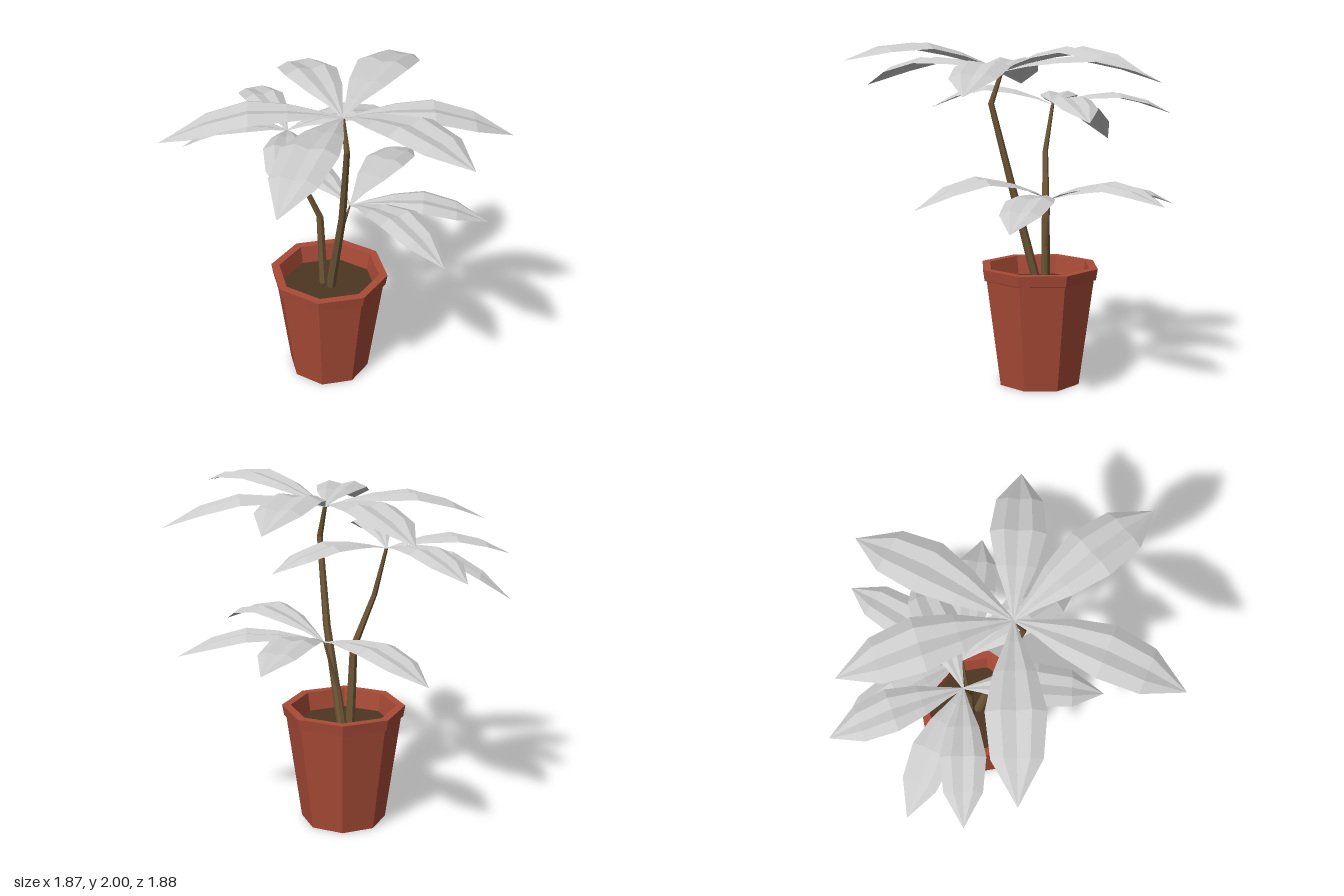
import * as THREE from 'three';

const mat = (color, side = THREE.FrontSide) =>
  new THREE.MeshStandardMaterial({ color, flatShading: true, side });
const potMat = mat(0xa94b37);
const soilMat = mat(0x4d3622);
const stemMat = mat(0x6e5636);
const leafMat = mat(0xcccccc, THREE.DoubleSide);

function mesh(name, geometry, material) {
  const m = new THREE.Mesh(geometry, material);
  m.name = name;
  return m;
}

// Octagonal pot: flat-to-flat radii are turned into corner radii
function makePot() {
  const toCorner = 1 / Math.cos(Math.PI / 8);
  const profile = [
    [0, 0], [0.23, 0], [0.31, 0.63], [0.322, 0.635], [0.332, 0.7],
    [0.285, 0.7], [0.265, 0.57],
  ].map(([r, y]) => new THREE.Vector2(r * toCorner, y));
  const pot = new THREE.Group();
  pot.name = 'pot';
  pot.add(mesh('potShell', new THREE.LatheGeometry(profile, 8, Math.PI / 8), potMat));
  const soil = mesh('soil', new THREE.CircleGeometry(0.28 * toCorner, 8, Math.PI / 8), soilMat);
  soil.rotation.x = -Math.PI / 2;
  soil.position.y = 0.59;
  pot.add(soil);
  pot.position.set(0.01, 0, -0.12);
  return pot;
}

// Tapered stem: the rings of a cylinder are moved onto the path points
function makeStem(path, r0, r1) {
  const n = path.length - 1;
  const g = new THREE.CylinderGeometry(1, 1, 1, 6, n, true);
  const p = g.attributes.position;
  for (let i = 0; i < p.count; i++) {
    const k = Math.round((p.getY(i) + 0.5) * n);
    const r = r0 + (r1 - r0) * k / n;
    const [x, y, z] = path[k];
    p.setXYZ(i, x + p.getX(i) * r, y, z + p.getZ(i) * r);
  }
  return mesh('stem', g, stemMat);
}

// Leaf cross-sections: [position along, half width, arch height], relative to length
const SECTIONS = [
  [0, 0.006, 0], [0.14, 0.05, 0.045], [0.31, 0.115, 0.085],
  [0.53, 0.163, 0.115], [0.77, 0.138, 0.078], [1, 0.002, 0],
];
// Across the leaf: side offset and lift, with a creased midrib and drooping edges
const ACROSS = [[-1, -0.1], [-0.5, 0.12], [0, 0], [0.5, 0.12], [1, -0.1]];

function makeLeaf(hub, tip, arch = 1) {
  const dx = tip[0] - hub[0], dy = tip[1] - hub[1], dz = tip[2] - hub[2];
  const len = Math.hypot(dx, dz);
  const side = [-dz / len, dx / len];
  const pos = [], index = [], cols = ACROSS.length;
  SECTIONS.forEach(([t, w, h], i) => {
    ACROSS.forEach(([s, lift], j) => {
      const off = s * w * len;
      pos.push(
        hub[0] + dx * t + side[0] * off,
        hub[1] + dy * t + (h * arch + lift * w) * len,
        hub[2] + dz * t + side[1] * off);
      if (i && j) {
        const d = i * cols + j, c = d - 1, b = d - cols, a = b - 1;
        index.push(a, b, d, a, d, c);
      }
    });
  });
  const g = new THREE.BufferGeometry();
  g.setAttribute('position', new THREE.Float32BufferAttribute(pos, 3));
  // corners ordered so that the upper side is the front
  g.setIndex(index.reverse());
  g.computeVertexNormals();
  return mesh('leaf', g, leafMat);
}

// Each shoot: stem path ending at the leaf hub, radii, and leaf tips [x, y, z, arch]
const SHOOTS = [
  {
    name: 'tallShoot', radii: [0.028, 0.012],
    path: [[0.02, 0.58, -0.11], [0.055, 1.15, 0.035], [0.05, 1.65, 0.16], [0.04, 1.83, 0.1]],
    tips: [
      [-0.91, 1.73, -0.05], [-0.47, 1.74, 0.91], [0.5, 1.9, 0.94],
      [0.94, 1.73, 0.31], [0.65, 1.83, -0.64, 1.15], [-0.09, 1.76, -0.85],
    ],
  },
  {
    name: 'middleShoot', radii: [0.028, 0.01],
    path: [[-0.015, 0.58, -0.16], [-0.035, 1.06, -0.16], [-0.16, 1.36, -0.165], [-0.21, 1.63, -0.21]],
    tips: [
      [-0.93, 1.57, -0.33], [-0.78, 1.38, -0.61, 1.3], [-0.34, 1.57, -0.94],
      [0.51, 1.57, -0.36], [-0.36, 1.61, 0.51, 1.3],
    ],
  },
  {
    name: 'lowShoot', radii: [0.016, 0.005],
    path: [[0.02, 0.58, -0.16], [0.055, 0.82, -0.16], [0.11, 0.98, -0.165], [0.15, 1.11, -0.17]],
    tips: [
      [0.93, 1.04, 0.08], [0.5, 1.1, 0.58, 1.45],
      [-0.14, 1.04, -0.93], [0.7, 1.14, -0.74, 1.1],
    ],
  },
];

export function createModel() {
  const model = new THREE.Group();
  model.name = 'pottedPlant';
  model.add(makePot());
  for (const { name, radii, path, tips } of SHOOTS) {
    const shoot = new THREE.Group();
    shoot.name = name;
    shoot.add(makeStem(path, ...radii));
    const hub = path[path.length - 1];
    for (const tip of tips) shoot.add(makeLeaf(hub, tip, tip[3]));
    model.add(shoot);
  }
  return model;
}
